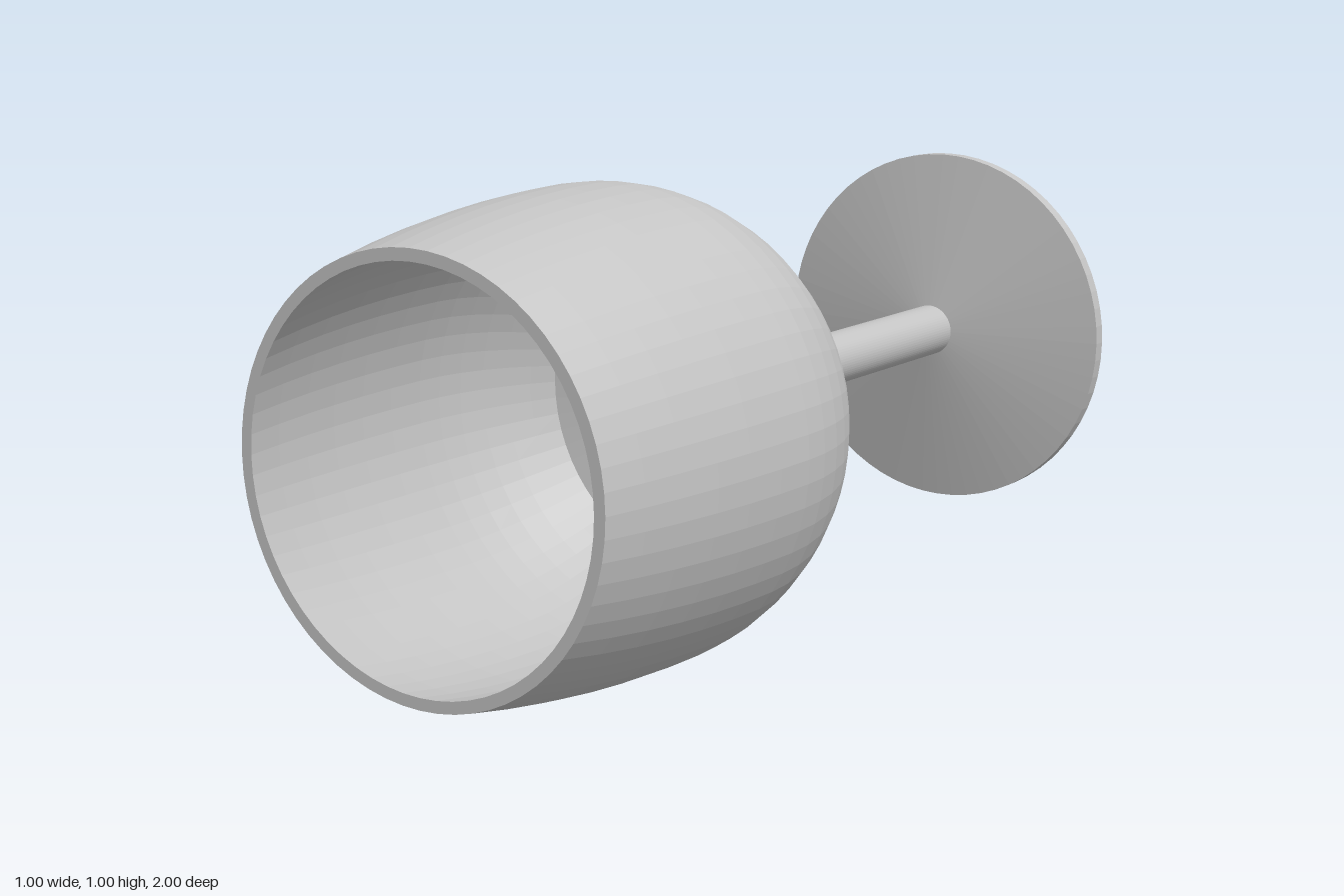
import * as THREE from 'three';

const SEGMENTS = 64;

export function createModel() {
  const model = new THREE.Group();
  model.name = 'wineGlass';
  const grey = new THREE.MeshStandardMaterial({ color: 0xc4c4c4 });
  grey.name = 'grey';
  grey.flatShading = true;

  // Everything is turned about one axis that lies along z at y = 0.5
  const addTurned = (name, points) => {
    const profile = points.map(([r, z]) => new THREE.Vector2(r, z));
    const geometry = new THREE.LatheGeometry(profile, SEGMENTS);
    geometry.rotateX(Math.PI / 2);
    const mesh = new THREE.Mesh(geometry, grey);
    mesh.name = name;
    mesh.position.y = 0.5;
    model.add(mesh);
  };

  // Bowl: rounded outside, tapered mouth, flat rim, hollow inside
  const bowl = [[0, -0.09]];
  for (let i = 0; i <= 12; i++) {
    const a = 0.12 + (Math.PI / 2 - 0.12) * (i / 12);
    bowl.push([0.5 * Math.sin(a), 0.425 - 0.515 * Math.cos(a)]);
  }
  for (let i = 1; i <= 6; i++) {
    const t = i / 6;
    bowl.push([0.5 - 0.06 * t * t, 0.425 + 0.575 * t]);
  }
  for (let i = 6; i >= 0; i--) {
    const t = i / 6;
    bowl.push([0.47 - 0.055 * t * t, 0.44 + 0.56 * t]);
  }
  for (let i = 1; i <= 6; i++) {
    const a = Math.PI / 2 - 0.68 * (i / 6);
    bowl.push([0.47 * Math.sin(a), 0.44 - 0.53 * Math.cos(a)]);
  }
  bowl.push([0, 0.03]); // shallow conical floor
  addTurned('bowl', bowl);

  // Stem
  addTurned('stem', [[0.06, -0.93], [0.06, -0.07]]);

  // Foot: flat disc with a low cone
  addTurned('foot', [[0, -1], [0.425, -1], [0.425, -0.97], [0.06, -0.915], [0, -0.915]]);

  return model;
}
